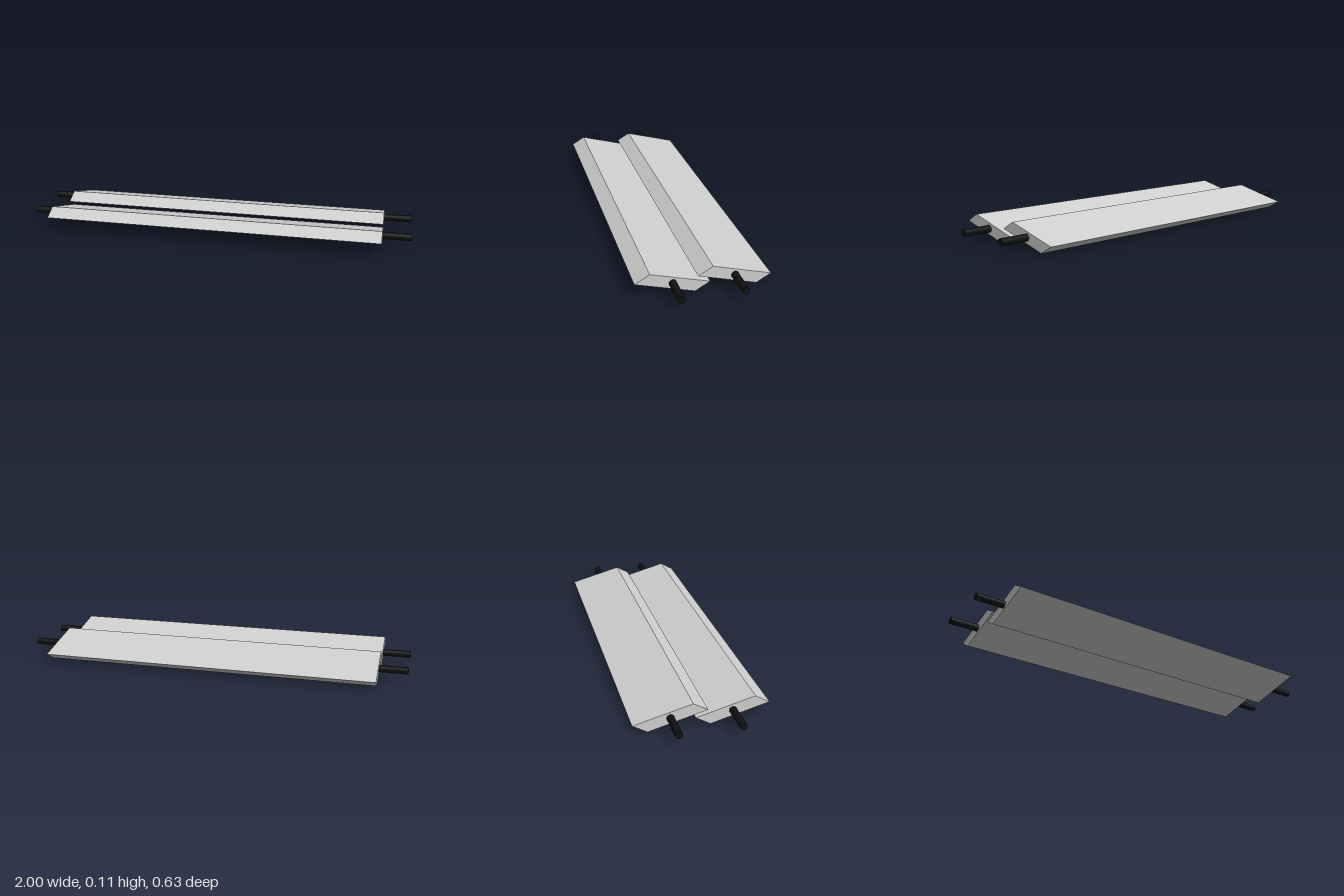
import * as THREE from 'three';

const BLADE_LENGTH = 1.716;
const PITCH = 0.287;
const AXIS_HEIGHT = 0.058;

export function createModel() {
  const model = new THREE.Group();
  model.name = 'louvre';

  const lightGrey = new THREE.MeshStandardMaterial({ color: 0xd0d0d0 });
  lightGrey.name = 'light grey';
  const black = new THREE.MeshStandardMaterial({ color: 0x111111 });
  black.name = 'black';

  // Slanted parallelogram section, drawn about the pivot (shape x is -z)
  const section = new THREE.Shape([
    new THREE.Vector2(-0.172, 0.017),
    new THREE.Vector2(-0.103, 0.057),
    new THREE.Vector2(0.172, -0.017),
    new THREE.Vector2(0.103, -0.057),
  ]);
  const bladeGeometry = new THREE.ExtrudeGeometry(section, {
    depth: BLADE_LENGTH,
    bevelEnabled: false,
  });
  bladeGeometry.translate(0, 0, -BLADE_LENGTH / 2).rotateY(Math.PI / 2);

  // Round pivot rod running through the blade along x
  const rodGeometry = new THREE.CylinderGeometry(0.0175, 0.0175, 2, 32);
  rodGeometry.rotateZ(Math.PI / 2);

  for (const side of [1, -1]) {
    const slat = new THREE.Group();
    slat.name = side > 0 ? 'frontSlat' : 'backSlat';
    slat.position.set(0, AXIS_HEIGHT, (side * PITCH) / 2);

    const blade = new THREE.Mesh(bladeGeometry, lightGrey);
    blade.name = 'blade';
    const rod = new THREE.Mesh(rodGeometry, black);
    rod.name = 'pivotRod';
    slat.add(blade, rod);
    model.add(slat);
  }
  return model;
}
